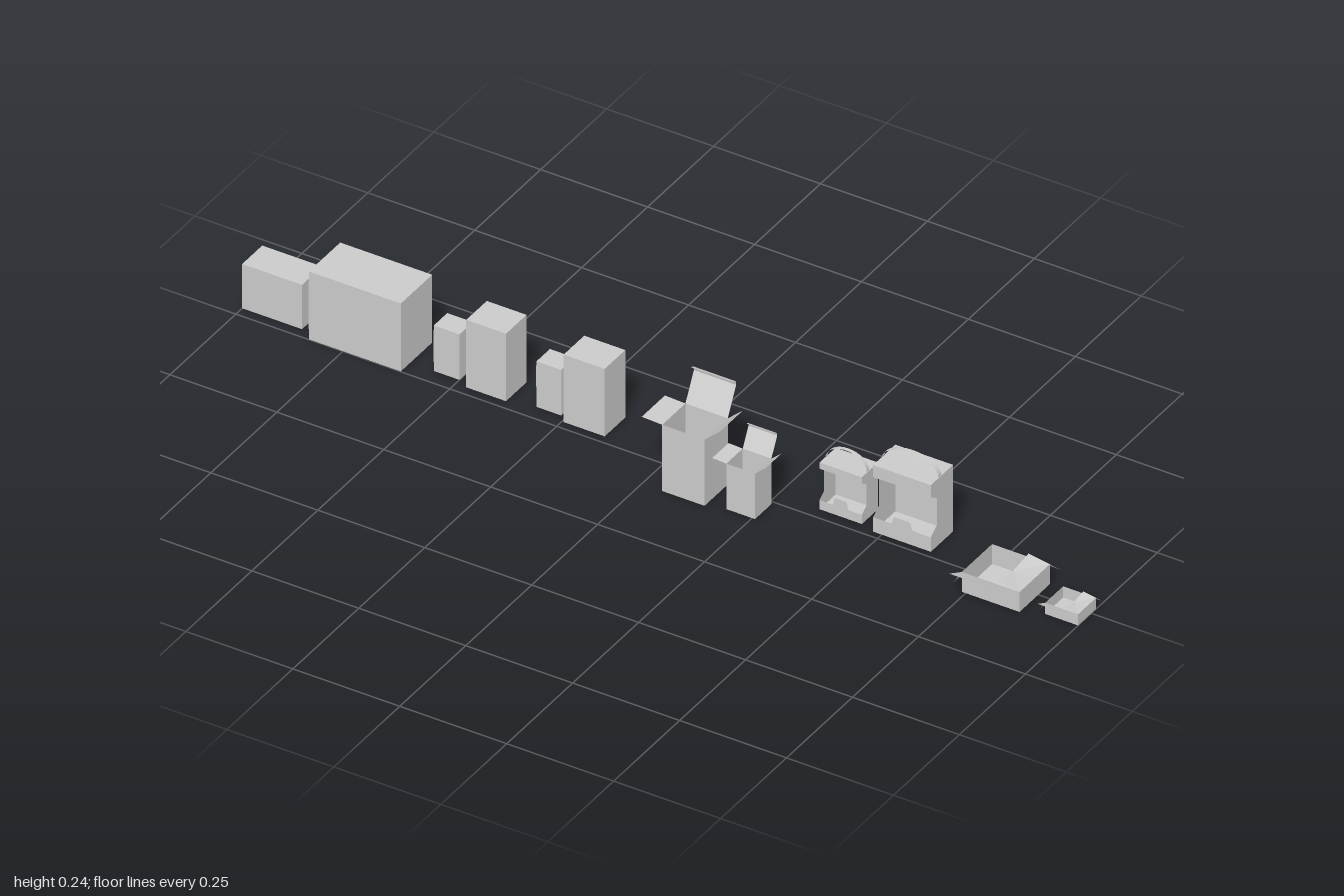
import * as THREE from 'three';

const solid = new THREE.MeshStandardMaterial({ color: 0xcccccc, flatShading: true });
const card = new THREE.MeshStandardMaterial({ color: 0xcccccc, flatShading: true, side: THREE.DoubleSide });

// Thin card made of four-cornered panels
function sheet(name, quads) {
  const pos = [];
  for (const [a, b, c, d] of quads) pos.push(...a, ...b, ...c, ...a, ...c, ...d);
  const geo = new THREE.BufferGeometry();
  geo.setAttribute('position', new THREE.Float32BufferAttribute(pos, 3));
  geo.computeVertexNormals();
  const mesh = new THREE.Mesh(geo, card);
  mesh.name = name;
  return mesh;
}

// Card strip along z: path of [x, y] points
const stripZ = (name, path, z0, z1) => sheet(name, path.slice(1).map((p, i) =>
  [[...path[i], z0], [...path[i], z1], [...p, z1], [...p, z0]]));

// Card strip along x: path of [y, z] points
const stripX = (name, path, x0, x1) => sheet(name, path.slice(1).map((p, i) =>
  [[x0, ...path[i]], [x1, ...path[i]], [x1, ...p], [x0, ...p]]));

// Flat card outline in the plane of its two axes
function outline(name, points) {
  const shape = new THREE.Shape(points.map(p => new THREE.Vector2(...p)));
  const mesh = new THREE.Mesh(new THREE.ShapeGeometry(shape), card);
  mesh.name = name;
  return mesh;
}

function named(name, ...parts) {
  const g = new THREE.Group();
  g.name = name;
  g.add(...parts);
  return g;
}

// Closed carton with a front panel between two heights
function closedBox(x0, x1, h, z0, z1, p0, p1) {
  const body = new THREE.Mesh(new THREE.BoxGeometry(x1 - x0, h, z1 - z0), solid);
  body.position.set((x0 + x1) / 2, h / 2, (z0 + z1) / 2);
  body.name = 'cartonBody';
  return named('closedBox', body, stripX('frontPanel', [[p0, z1 + 0.001], [p1, z1 + 0.001]], x0, x1));
}

// Bottom and four walls, open on top
const openBody = (x0, x1, h, z0, z1) => named('openBody',
  stripX('frontBottomBack', [[h, z1], [0, z1], [0, z0], [h, z0]], x0, x1),
  stripZ('leftWall', [[x1, 0], [x1, h]], z0, z1),
  stripZ('rightWall', [[x0, 0], [x0, h]], z0, z1));

// Tall carton with a raised lid, tuck flap and two side flaps
function openBox(x0, x1, h, z0, z1, s) {
  return named('openBox', openBody(x0, x1, h, z0, z1),
    stripX('lid', [[h, z0], [h + 0.062 * s, z0 - 0.032 * s], [h + 0.072 * s, z0 - 0.03 * s],
      [h + 0.076 * s, z0 - 0.02 * s]], x0, x1),
    stripZ('leftFlap', [[x1, h], [x1 + 0.035 * s, h + 0.031 * s]], z0, z1),
    stripZ('rightFlap', [[x0, h], [x0 - 0.048 * s, h + 0.002 * s]], z0, z1));
}

// Window carton with a cut-away front and an arched handle strip
function carryBox(x0, x1, h, z0, z1, apex, low, tab, rail, cut) {
  const g = named('carryBox',
    stripX('topBackBottom', [[rail, z1], [h, z1], [h, z0], [0, z0], [0, z1]], x0, x1));

  // C-shaped side walls
  for (const x of [x0, x1]) {
    const side = outline('sideWall', [[z0, 0], [z1, 0], [z1, low], [z1 - cut, low + cut * 0.7],
      [z1 - cut, rail - cut * 0.7], [z1, rail], [z1, h], [z0, h]]);
    side.rotation.y = -Math.PI / 2;
    side.position.x = x;
    g.add(side);
  }

  // Low front panel with a raised middle tab
  const w = x1 - x0, at = t => x0 + w * t;
  const front = outline('frontPanel', [[x0, 0], [x1, 0], [x1, low], [at(0.68), low], [at(0.64), tab],
    [at(0.36), tab], [at(0.32), low], [x0, low]]);
  front.position.z = z1;
  g.add(front);

  // Handle arch
  const base = h - 0.02, n = 16, arc = [[x0 + 0.001, base]];
  for (let i = 0; i <= n; i++) {
    const a = Math.PI * (1 - i / n);
    arc.push([(x0 + x1) / 2 + Math.cos(a) * (w / 2 - 0.001), h + Math.sin(a) * (apex - h)]);
  }
  arc.push([x1 - 0.001, base]);
  const zc = (z0 + z1) / 2 + 0.006, half = 0.04 * w + 0.0005;
  g.add(stripZ('handle', arc, zc - half, zc + half));
  return g;
}

// Low tray with four loosely opened flaps
function tray(x0, x1, h, z0, z1, s) {
  const zm = (z0 + z1) / 2, xi = x1 - 0.05 * s, dip = 0.008 * s;
  return named('openTray', openBody(x0, x1, h, z0, z1),
    stripX('frontFlap', [[h, z1], [h + 0.024 * s, z1 + 0.048 * s]], x0, x1),
    stripX('backFlap', [[h, z0], [h - 0.035 * s, z0 - 0.038 * s]], x0, x1),
    stripZ('rightFlap', [[x0, h], [x0 - 0.021 * s, h - 0.034 * s]], z0, z1),
    sheet('leftFlap', [z0, z1].map(z => [[x1, h, z], [xi, h + dip, z], [xi, h, zm], [x1, h - dip / 4, zm]])));
}

export function createModel() {
  const model = new THREE.Group();
  model.name = 'cartonCollection';
  model.add(
    closedBox(-1, -0.86, 0.107, -0.1, -0.024, 0.005, 0.088),
    closedBox(-0.83, -0.615, 0.164, -0.12, -0.001, 0.026, 0.14),
    closedBox(-0.56, -0.5, 0.11, -0.088, -0.037, 0.022, 0.1),
    closedBox(-0.475, -0.382, 0.163, -0.1, -0.022, 0.025, 0.14),
    closedBox(-0.32, -0.262, 0.11, -0.088, -0.037, 0.05, 0.1),
    closedBox(-0.246, -0.15, 0.163, -0.098, -0.02, 0.05, 0.14),
    openBox(0.048, 0.147, 0.16, -0.005, 0.083, 1),
    openBox(0.19, 0.257, 0.11, 0.008, 0.07, 0.69),
    carryBox(0.348, 0.447, 0.113, -0.088, -0.027, 0.148, 0.022, 0.04, 0.098, 0.017),
    carryBox(0.48, 0.615, 0.161, -0.1, -0.016, 0.197, 0.035, 0.053, 0.132, 0.023),
    tray(0.741, 0.876, 0.048, -0.044, 0.071, 1),
    tray(0.923, 1, 0.027, -0.018, 0.05, 0.6));
  return model;
}
